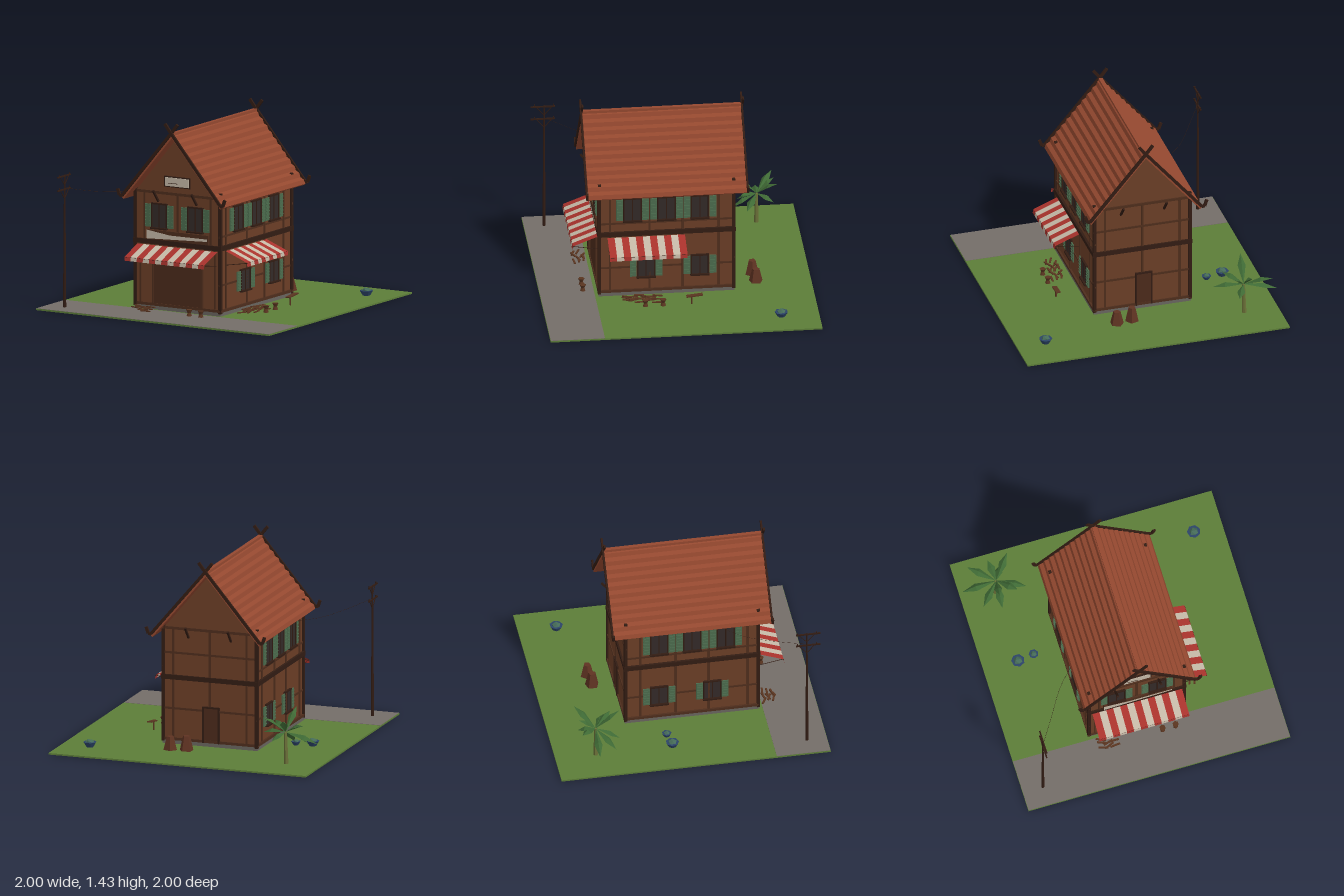
import * as THREE from 'three';

const mat = (color, opts = {}) => new THREE.MeshStandardMaterial({ color, ...opts });
const M = {
  wall: mat(0x6b3e26), timber: mat(0x4e2d1c), dark: mat(0x321c13), door: mat(0x4b2a1b),
  roof: mat(0x94482f, { flatShading: true, side: THREE.DoubleSide }), pane: mat(0x332a28), shutter: mat(0x4b6b4d),
  red: mat(0xa8322c, { side: THREE.DoubleSide }), cream: mat(0xc4b8a6, { side: THREE.DoubleSide }),
  grass: mat(0x5c7d38), road: mat(0x746d68), stone: mat(0x68645e), plank: mat(0x5a3520),
  frond: mat(0x3f6a35, { flatShading: true, side: THREE.DoubleSide }), trunk: mat(0x6b7038, { flatShading: true }),
  sack: mat(0x5f3322, { flatShading: true }), bush: mat(0x2c4468, { flatShading: true }), leaf: mat(0x456b58, { flatShading: true })
};
const V = (x, y, z) => new THREE.Vector3(x, y, z);

function add(parent, name, geo, material, x = 0, y = 0, z = 0) {
  const m = new THREE.Mesh(geo, material);
  m.name = name;
  m.position.set(x, y, z);
  parent.add(m);
  return m;
}
// Box given by its two extreme corners
function box(parent, name, material, x0, x1, y0, y1, z0, z1) {
  return add(parent, name, new THREE.BoxGeometry(x1 - x0, y1 - y0, z1 - z0), material,
    (x0 + x1) / 2, (y0 + y1) / 2, (z0 + z1) / 2);
}
// Square beam or round rod between two points
function beam(parent, name, material, a, b, w, d = w) {
  const m = add(parent, name, new THREE.BoxGeometry(w, d, a.distanceTo(b)), material);
  m.position.copy(a).lerp(b, 0.5);
  m.lookAt(b);
  return m;
}
function rod(parent, name, material, a, b, r0, r1 = r0) {
  const m = add(parent, name, new THREE.CylinderGeometry(r1, r0, a.distanceTo(b), 6), material);
  m.position.copy(a).lerp(b, 0.5);
  m.quaternion.setFromUnitVectors(V(0, 1, 0), b.clone().sub(a).normalize());
  return m;
}
function group(parent, name, x = 0, y = 0, z = 0, ry = 0) {
  const g = new THREE.Group();
  g.name = name;
  g.position.set(x, y, z);
  g.rotation.y = ry;
  parent.add(g);
  return g;
}

const CX = -0.045, L = -0.42, R = 0.33, B = -0.43, F = 0.58;

// Window facing +z, with louvred shutters
function windowUnit(parent, x, y, z, ry, h) {
  const g = group(parent, 'window', x, y, z, ry);
  box(g, 'windowPane', M.pane, -0.06, 0.06, -h / 2, h / 2, -0.01, 0.006);
  for (const s of [-1, 1]) {
    box(g, 'windowJamb', M.dark, s * 0.063 - 0.005, s * 0.063 + 0.005, -h / 2, h / 2, -0.01, 0.012);
    const sh = group(g, 'shutter', s * 0.095, 0, 0.008);
    box(sh, 'shutterPanel', M.shutter, -0.025, 0.025, -h / 2 + 0.005, h / 2 - 0.005, -0.005, 0.004);
    for (let i = 0; i < 6; i++)
      add(sh, 'shutterSlat', new THREE.BoxGeometry(0.042, 0.005, 0.008), M.shutter, 0, (i - 2.5) * h * 0.145, 0.005);
  }
  box(g, 'windowHead', M.dark, -0.068, 0.068, h / 2 - 0.005, h / 2 + 0.006, -0.01, 0.014);
  box(g, 'windowSill', M.dark, -0.07, 0.07, -h / 2 - 0.008, -h / 2 + 0.004, -0.01, 0.024);
  box(g, 'windowBar', M.dark, -0.004, 0.004, -h / 2, h / 2, 0, 0.009);
}

// Striped awning facing +z, hung from the wall at local z = 0
function awning(parent, x, z, ry, width, stripes) {
  const g = group(parent, 'awning', x, 0, z, ry);
  const w = width / stripes, rows = [[0.49, 0], [0.42, 0.18], [0.39, 0.185]];
  for (let i = 0; i < stripes; i++) {
    const geo = new THREE.PlaneGeometry(w, 1, 1, 2), p = geo.attributes.position;
    for (let k = 0; k < 6; k++) p.setXYZ(k, p.getX(k), ...rows[Math.floor(k / 2)]);
    const flat = geo.toNonIndexed();
    flat.computeVertexNormals();
    add(g, 'awningStripe', flat, i % 2 ? M.cream : M.red, (i + 0.5) * w - width / 2);
  }
  for (const s of [-1, 1])
    rod(g, 'awningArm', M.dark, V(s * (width / 2 - 0.01), 0.385, 0), V(s * (width / 2 - 0.01), 0.415, 0.178), 0.0025);
  rod(g, 'awningRail', M.dark, V(-width / 2, 0.416, 0.178), V(width / 2, 0.416, 0.178), 0.003);
}

function buildHouse(root) {
  const g = group(root, 'house');
  box(g, 'foundation', M.stone, L + 0.005, R - 0.005, 0, 0.045, B + 0.005, F - 0.005);
  // Walls with both gables in one extrusion
  const s = new THREE.Shape([[-0.405, 0.04], [0.315, 0.04], [0.315, 0.88], [CX, 1.31], [-0.405, 0.88]]
    .map(p => new THREE.Vector2(...p)));
  add(g, 'walls', new THREE.ExtrudeGeometry(s, { depth: 0.99, bevelEnabled: false }), M.wall, 0, 0, -0.42);
  // Corner posts reach just through the roof
  for (const x of [L + 0.012, R - 0.012]) for (const z of [B + 0.012, F - 0.012])
    box(g, 'cornerPost', M.dark, x - 0.012, x + 0.012, 0.03, 0.925, z - 0.012, z + 0.012);
  // Ring beams
  for (const [y, h, o, m] of [[0.05, 0.02, 0, M.timber], [0.515, 0.035, 0.003, M.dark], [0.885, 0.02, 0, M.timber]])
    for (const [x0, x1, z0, z1] of [[L, R, F - 0.02, F], [L, R, B, B + 0.02], [L, L + 0.02, B, F], [R - 0.02, R, B, F]])
      box(g, 'ringBeam', m, x0 - o, x1 + o, y - h / 2, y + h / 2, z0 - o, z1 + o);
  // Thin framing on the side walls
  for (const x of [-0.407, 0.317]) {
    for (const z of [0.49, 0.2, -0.045, -0.31])
      box(g, 'sideStud', M.timber, x - 0.006, x + 0.006, 0.05, 0.88, z - 0.008, z + 0.008);
    for (const y of [0.24, 0.6])
      box(g, 'sideRail', M.timber, x - 0.005, x + 0.005, y - 0.007, y + 0.007, B, F);
  }
  // Thin framing on front and back
  for (const x of [-0.33, CX, 0.24]) {
    box(g, 'frontStud', M.timber, x - 0.008, x + 0.008, 0.52, 0.89, 0.565, 0.576);
    box(g, 'backStud', M.timber, x - 0.008, x + 0.008, 0.05, 0.89, -0.427, -0.415);
  }
  for (const y of [0.28, 0.7]) box(g, 'backRail', M.timber, L, R, y - 0.008, y + 0.008, -0.427, -0.415);
  for (const x of [-0.21, 0.12]) for (const [z, d] of [[F, 1], [B, -1]])
    beam(g, 'gableBracket', M.dark, V(x, 0.82, z - d * 0.005), V(x, 0.91, z + d * 0.07), 0.014);

  // Shop front
  box(g, 'shopDoor', M.door, -0.25, 0.16, 0.045, 0.4, 0.56, 0.574);
  for (const x of [-0.255, 0.165]) box(g, 'doorJamb', M.timber, x - 0.008, x + 0.008, 0.04, 0.42, 0.56, 0.58);
  for (const x of [-0.365, 0.275]) box(g, 'frontPanelStud', M.timber, x - 0.006, x + 0.006, 0.04, 0.5, 0.565, 0.576);
  box(g, 'signFrame', M.dark, -0.155, 0.065, 0.935, 1.015, 0.565, 0.582);
  box(g, 'signBoard', M.cream, -0.147, 0.057, 0.943, 1.007, 0.57, 0.587);
  box(g, 'signMark', M.dark, -0.12, -0.04, 0.963, 0.967, 0.58, 0.589);
  box(g, 'bannerBoard', M.timber, -0.3, 0.225, 0.535, 0.605, 0.57, 0.588);
  const cloth = new THREE.Shape([[-0.3, 0.538], [0.22, 0.56], [0.22, 0.578], [-0.1, 0.577], [-0.3, 0.603]]
    .map(p => new THREE.Vector2(...p)));
  add(g, 'banner', new THREE.ShapeGeometry(cloth), M.cream, 0, 0, 0.592);
  // Back door
  box(g, 'backDoor', M.door, -0.11, 0.0, 0.045, 0.3, -0.428, -0.41);
  for (const x of [-0.115, 0.005]) box(g, 'backDoorJamb', M.dark, x - 0.006, x + 0.006, 0.04, 0.31, -0.434, -0.41);
  box(g, 'backDoorHead', M.dark, -0.121, 0.011, 0.3, 0.312, -0.434, -0.41);

  for (const x of [-0.2, 0.11]) windowUnit(g, x, 0.71, 0.572, 0, 0.18);
  for (const [x, ry] of [[0.317, Math.PI / 2], [-0.407, -Math.PI / 2]]) {
    for (const z of [0.325, 0.075, -0.17]) windowUnit(g, x, 0.71, z, ry, 0.18);
    for (const z of [0.225, -0.17]) windowUnit(g, x, 0.235, z, ry, 0.155);
  }
  awning(g, -0.043, F, 0, 0.685, 13);
  awning(g, R, 0.225, Math.PI / 2, 0.57, 11);
}

function buildRoof(root) {
  const g = group(root, 'roof');
  // Ribbed cross-section: outer zigzag over both slopes, smooth underside
  const n = 22, half = [];
  for (let i = 0; i <= n; i++) {
    const t = i / n, rib = i % 2 ? 0.012 : 0;
    half.push([t * 0.432 + rib * 0.76 - 0.005, 1.345 - t * 0.51 + rib * 0.65]);
  }
  half[0][0] = 0;
  const outer = [...half.slice(1).reverse().map(([x, y]) => [-x, y]), ...half];
  const pts = [...outer, [0.415, 0.825], [0, 1.315], [-0.415, 0.825]].map(([x, y]) => new THREE.Vector2(x + CX, y));
  add(g, 'roofTiles', new THREE.ExtrudeGeometry(new THREE.Shape(pts), { depth: 1.17, bevelEnabled: false }), M.roof, 0, 0, -0.515);
  box(g, 'ridgeCap', M.roof, CX - 0.015, CX + 0.015, 1.335, 1.355, -0.515, 0.655);
  // Crossed bargeboards with upturned ends
  for (const z of [-0.52, 0.663]) for (const s of [-1, 1]) {
    const p = [[-0.052, 1.42], [-0.005, 1.36], [0.425, 0.85], [0.445, 0.852], [0.462, 0.9]]
      .map(([x, y]) => V(CX + s * x, y, z + s * 0.003));
    for (let i = 0; i < 4; i++) beam(g, 'bargeboard', M.dark, p[i], p[i + 1], 0.014, 0.022);
  }
}

function buildPole(root) {
  const g = group(root, 'utilityPole', -0.845, 0, 0.85);
  rod(g, 'pole', M.dark, V(0, 0.01, 0), V(0, 1.0, 0), 0.012, 0.005);
  for (const y of [0.89, 0.99]) {
    box(g, 'crossArm', M.dark, -0.005, 0.005, y - 0.005, y + 0.005, -0.08, 0.1);
    for (const s of [-1, 1]) {
      rod(g, 'armBrace', M.dark, V(0, y - 0.07, 0), V(0, y, s * 0.06), 0.003);
      rod(g, 'insulator', M.dark, V(0, y, s * 0.07), V(0, y + 0.018, s * 0.07), 0.004);
    }
  }
  const sag = new THREE.CatmullRomCurve3([V(0, 0.9, 0), V(0.13, 0.855, -0.21), V(0.26, 0.83, -0.42), V(0.43, 0.83, -0.6)]);
  add(g, 'wire', new THREE.TubeGeometry(sag, 12, 0.001, 4), M.dark);
}

function buildPalm(root) {
  const g = group(root, 'palm', -0.74, 0, -0.7);
  rod(g, 'palmTrunk', M.trunk, V(0, 0.01, 0), V(0.005, 0.25, 0), 0.017, 0.011);
  // Frond tips relative to the crown base
  const tips = [[-0.25, 0.18, -0.01], [-0.18, 0.34, -0.13], [-0.02, 0.41, 0.17], [0.13, 0.38, -0.14], [0.21, 0.21, 0.09],
    [0, 0.14, 0.18], [0.13, 0.3, 0.13], [-0.13, 0.14, 0.13], [0.07, 0.2, -0.12], [-0.02, 0.36, -0.13]];
  for (const t of tips) {
    const a = V(0.005, 0.25, 0), b = V(...t), m = a.clone().lerp(b, 0.6).add(V(0, 0.03, 0));
    const side = V(-(b.z), 0, b.x).normalize().multiplyScalar(0.03);
    const l = m.clone().add(side).add(V(0, -0.025, 0)), r = m.clone().sub(side).add(V(0, -0.025, 0));
    const geo = new THREE.BufferGeometry().setFromPoints([a, l, m, l, b, m, a, m, r, m, b, r]);
    geo.computeVertexNormals();
    add(g, 'palmFrond', geo, M.frond);
  }
}

function buildYard(root) {
  box(root, 'lawn', M.grass, -1, 1, 0, 0.012, -1, 1);
  box(root, 'road', M.road, -0.998, 0.998, 0.005, 0.014, 0.6, 0.998);
  // Round shrubs: wide faceted rim over a narrow foot
  for (const [x, z, r] of [[0.78, -0.72, 0.05], [-0.74, -0.13, 0.05], [-0.615, -0.15, 0.036]]) {
    const g = group(root, 'shrub', x, 0.012, z);
    add(g, 'shrubBase', new THREE.CylinderGeometry(r, r * 0.55, r * 0.75, 7), M.bush, 0, r * 0.375);
    add(g, 'shrubTop', new THREE.IcosahedronGeometry(r * 0.7, 0), M.leaf, 0, r * 0.7).scale.y = 0.7;
  }
  for (const [x, z, h, ry] of [[0.08, -0.58, 0.11, 0.3], [0.2, -0.595, 0.1, 0.9]])
    add(root, 'sack', new THREE.CylinderGeometry(0.027, 0.052, h, 5), M.sack, x, 0.012 + h / 2, z).rotation.y = ry;
  // Loose planks under both awnings
  const pile = (x, z, ry) => {
    const g = group(root, 'plankPile', x, 0.012, z, ry);
    for (let i = 0; i < 9; i++) {
      const p = add(g, 'plank', new THREE.BoxGeometry(0.075, 0.007, 0.014), M.plank,
        ((i % 3) - 1) * 0.045, 0.006 + (i % 4) * 0.01, (Math.floor(i / 3) - 1) * 0.035);
      p.rotation.y = (i * 1.7) % 1 - 0.5;
    }
  };
  pile(-0.29, 0.66, 0);
  pile(0.42, 0.33, 1.57);
  pile(0.43, 0.2, 1.4);
  // Small stools
  for (const [x, z] of [[0.515, 0.12], [0.515, 0.25], [0.12, 0.68], [0.22, 0.68]]) {
    const g = group(root, 'stool', x, 0.012, z);
    add(g, 'stoolFoot', new THREE.CylinderGeometry(0.012, 0.02, 0.025, 6), M.plank, 0, 0.0125);
    add(g, 'stoolSeat', new THREE.CylinderGeometry(0.024, 0.012, 0.025, 6), M.plank, 0, 0.0375);
  }
  // Leaning board beside the side awning
  beam(root, 'leaningBoard', M.plank, V(0.52, 0.09, -0.17), V(0.515, 0.075, -0.05), 0.035, 0.008);
  rod(root, 'boardLeg', M.plank, V(0.515, 0.01, -0.09), V(0.515, 0.08, -0.09), 0.006);
}

export function createModel() {
  const root = new THREE.Group();
  root.name = 'timberHouseScene';
  buildYard(root);
  buildHouse(root);
  buildRoof(root);
  buildPole(root);
  buildPalm(root);
  return root;
}
